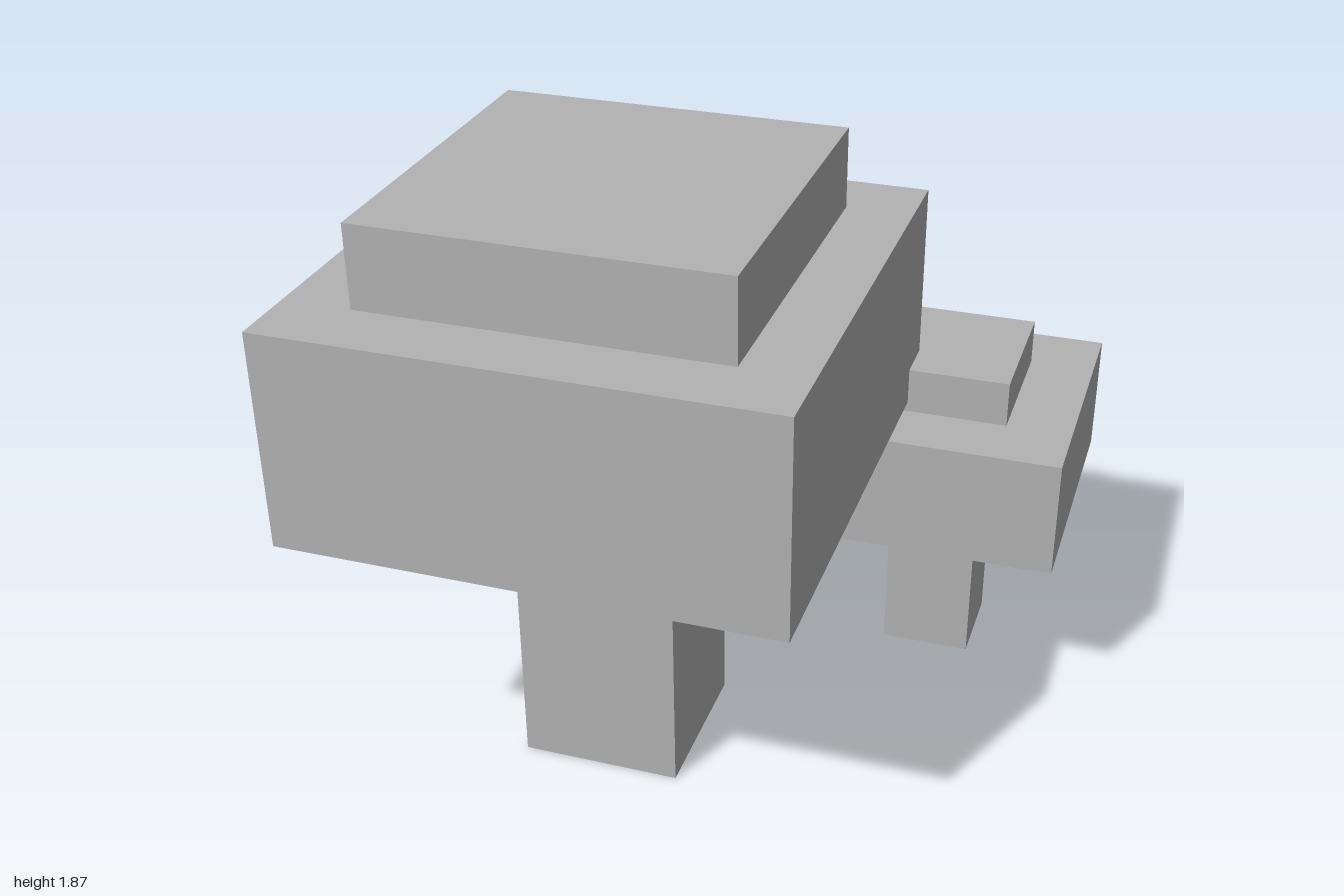
import * as THREE from 'three';

const grey = new THREE.MeshStandardMaterial({ color: 0xb2b2b2, side: THREE.DoubleSide });
grey.name = 'grey';

// Closed square block standing on y0
function block(name, width, y0, y1) {
  const mesh = new THREE.Mesh(new THREE.BoxGeometry(width, y1 - y0, width), grey);
  mesh.position.y = (y0 + y1) / 2;
  mesh.name = name;
  return mesh;
}

// Hollow square tube, open at the bottom
function openTube(name, width, y0, y1) {
  const tube = new THREE.CylinderGeometry(
    width / Math.SQRT2, width / Math.SQRT2, y1 - y0, 4, 1, true, Math.PI / 4
  ).toNonIndexed();
  tube.computeVertexNormals();
  const mesh = new THREE.Mesh(tube, grey);
  mesh.position.y = (y0 + y1) / 2;
  mesh.name = name;
  return mesh;
}

// Blocky mushroom: stem, wide cap and a smaller step on top
function mushroom(name, x, z, stem, cap, top) {
  const group = new THREE.Group();
  group.name = name;
  group.position.set(x, 0, z);
  group.add(
    openTube('stem', stem.width, 0, cap.y0),
    block('cap', cap.width, cap.y0, cap.y1),
    block('capTop', top.width, cap.y1, top.y1)
  );
  return group;
}

export function createModel() {
  const model = new THREE.Group();
  model.name = 'mushrooms';
  model.add(
    mushroom('largeMushroom', -0.26, 0.26,
      { width: 0.494 }, { width: 1.48, y0: 0.967, y1: 1.625 }, { width: 1.072, y1: 1.873 }),
    mushroom('smallMushroom', 0.567, -0.567,
      { width: 0.285 }, { width: 0.866, y0: 0.555, y1: 0.935 }, { width: 0.456, y1: 1.08 })
  );
  return model;
}
